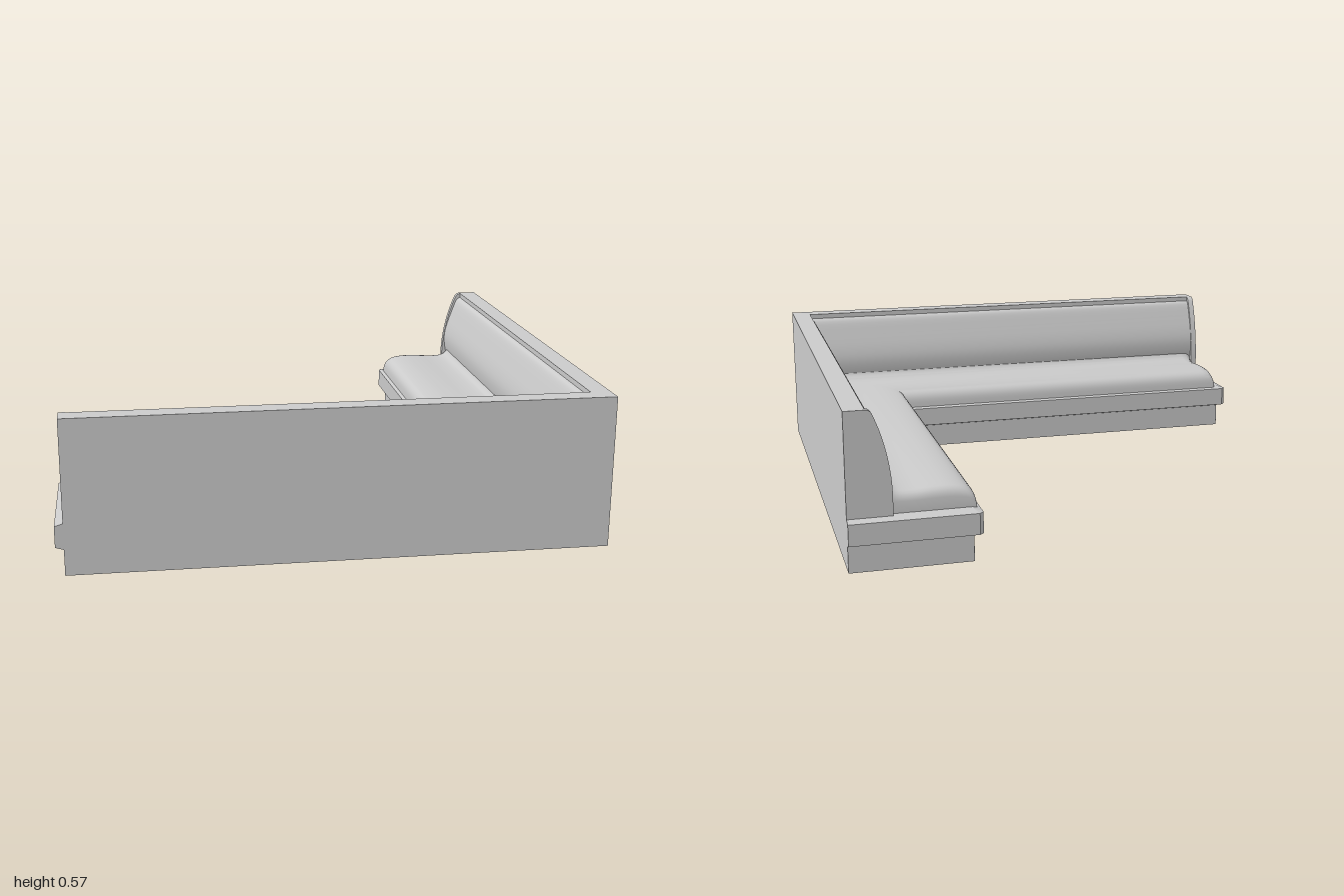
import * as THREE from 'three';
import { toCreasedNormals } from 'three/addons/utils/BufferGeometryUtils.js';

// Outer corner of the L, the free ends of its two legs, plinth depth and wall thickness
const CX = 1, CZ = 0.986, END_X = -0.97, END_Z = -0.957, PLINTH = 0.44, WALL = 0.075;
const material = new THREE.MeshStandardMaterial({ color: 0xcccccc, side: THREE.DoubleSide });

// Joins rows of points into a surface; edges sharper than the crease stay hard
function skin(rows, closed, flip, crease) {
  const n = rows[0].length, index = [];
  for (let i = 0; i < rows.length - 1; i++) {
    for (let j = 0; j < (closed ? n : n - 1); j++) {
      const k = (j + 1) % n;
      const a = i * n + j, b = i * n + k, c = (i + 1) * n + k, d = (i + 1) * n + j;
      if (flip) index.push(a, c, b, a, d, c);
      else index.push(a, b, c, a, c, d);
    }
  }
  const g = new THREE.BufferGeometry();
  g.setAttribute('position', new THREE.Float32BufferAttribute(rows.flat(2), 3));
  g.setIndex(index);
  return toCreasedNormals(g, crease);
}

function add(group, name, geometry) {
  const mesh = new THREE.Mesh(geometry, material);
  mesh.name = name;
  group.add(mesh);
}

// Sweeps a (depth from outer face, height) profile along both legs, mitred at the corner.
// Each end step is [distance from the end, height factor above the base].
function sweepLegs(profile, inset, steps = [[0, 1]], base = 0) {
  const lift = (y, k) => base + (y - base) * k;
  const legX = steps.map(([s, k]) =>
    profile.map(([d, y]) => [END_X + inset + s, lift(y, k), CZ - d]));
  const corner = profile.map(([d, y]) => [CX - d, y, CZ - d]);
  const legZ = steps.map(([s, k]) =>
    profile.map(([d, y]) => [CX - d, lift(y, k), END_Z + inset + s])).reverse();
  return skin([...legX, corner, ...legZ], false, true, 0.6);
}

// L-shaped outline grown by e at the inner faces and leg ends, with clipped end corners
function outline(e, y) {
  const c = Math.max(e, 0) * 0.5 + 0.0005, d = PLINTH + e;
  const xe = END_X - e, ze = END_Z - e, xi = CX - d, zi = CZ - d;
  return [
    [CX, y, CZ], [xe, y, CZ], [xe, y, zi + c], [xe + c, y, zi],
    [xi, y, zi], [xi, y, ze + c], [xi + c, y, ze], [CX, y, ze],
  ];
}

function smooth(points, n) {
  const curve = new THREE.SplineCurve(points.map(p => new THREE.Vector2(...p)));
  return curve.getPoints(n).map(p => [p.x, p.y]);
}

export function createModel() {
  const group = new THREE.Group();
  group.name = 'cornerBench';

  // Hollow base: plinth and projecting band, open underneath
  const levels = [[0, 0], [0, 0.097], [0.03, 0.106], [0.03, 0.184], [0, 0.193]];
  add(group, 'base', skin(levels.map(([e, y]) => outline(e, y)), true, false, 0.15));

  // Flat seat deck from the wall to the band
  add(group, 'seatDeck', sweepLegs([[WALL, 0.193], [PLINTH, 0.193]], 0));

  // Tall back wall with a flat top
  add(group, 'backWall', sweepLegs([[0, 0.19], [0, 0.57], [WALL, 0.57], [WALL, 0.53]], 0));

  // Bulging back cushion
  const back = smooth([[0.077, 0.55], [0.095, 0.535], [0.12, 0.47], [0.14, 0.41],
    [0.149, 0.36], [0.146, 0.31], [0.135, 0.26]], 24);
  add(group, 'backCushion', sweepLegs([[0.07, 0.55], ...back], 0.022));

  // Seat cushion rising softly to the back, with a rounded front edge and rounded ends
  const seat = smooth([[0.139, 0.31], [0.148, 0.288], [0.175, 0.272], [0.23, 0.269], [0.3, 0.274],
    [0.37, 0.274], [0.425, 0.262], [0.45, 0.235], [0.456, 0.19]], 32);
  add(group, 'seatCushion', sweepLegs(seat, 0.022,
    [[0, 0], [0, 0.55], [0.004, 0.72], [0.012, 0.87], [0.025, 0.96], [0.05, 1]], 0.19));

  // Curved end panels closing the backrest
  const panel = new THREE.Shape();
  panel.moveTo(0, 0.19);
  panel.lineTo(0.16, 0.19);
  panel.lineTo(0.16, 0.27);
  panel.bezierCurveTo(0.158, 0.37, 0.135, 0.47, 0.1, 0.55);
  panel.quadraticCurveTo(0.092, 0.57, WALL, 0.57);
  panel.lineTo(0, 0.57);
  panel.closePath();
  const depth = 0.025;
  const up = new THREE.Vector3(0, 1, 0);
  for (const alongX of [true, false]) {
    const g = new THREE.ExtrudeGeometry(panel, { depth, bevelEnabled: false, curveSegments: 10 });
    const across = alongX ? new THREE.Vector3(0, 0, -1) : new THREE.Vector3(-1, 0, 0);
    const along = new THREE.Vector3().crossVectors(across, up);
    g.applyMatrix4(new THREE.Matrix4().makeBasis(across, up, along));
    if (alongX) g.translate(END_X, 0, CZ);
    else g.translate(CX, 0, END_Z + depth);
    add(group, alongX ? 'endPanelFront' : 'endPanelSide', toCreasedNormals(g, 0.6));
  }
  return group;
}
